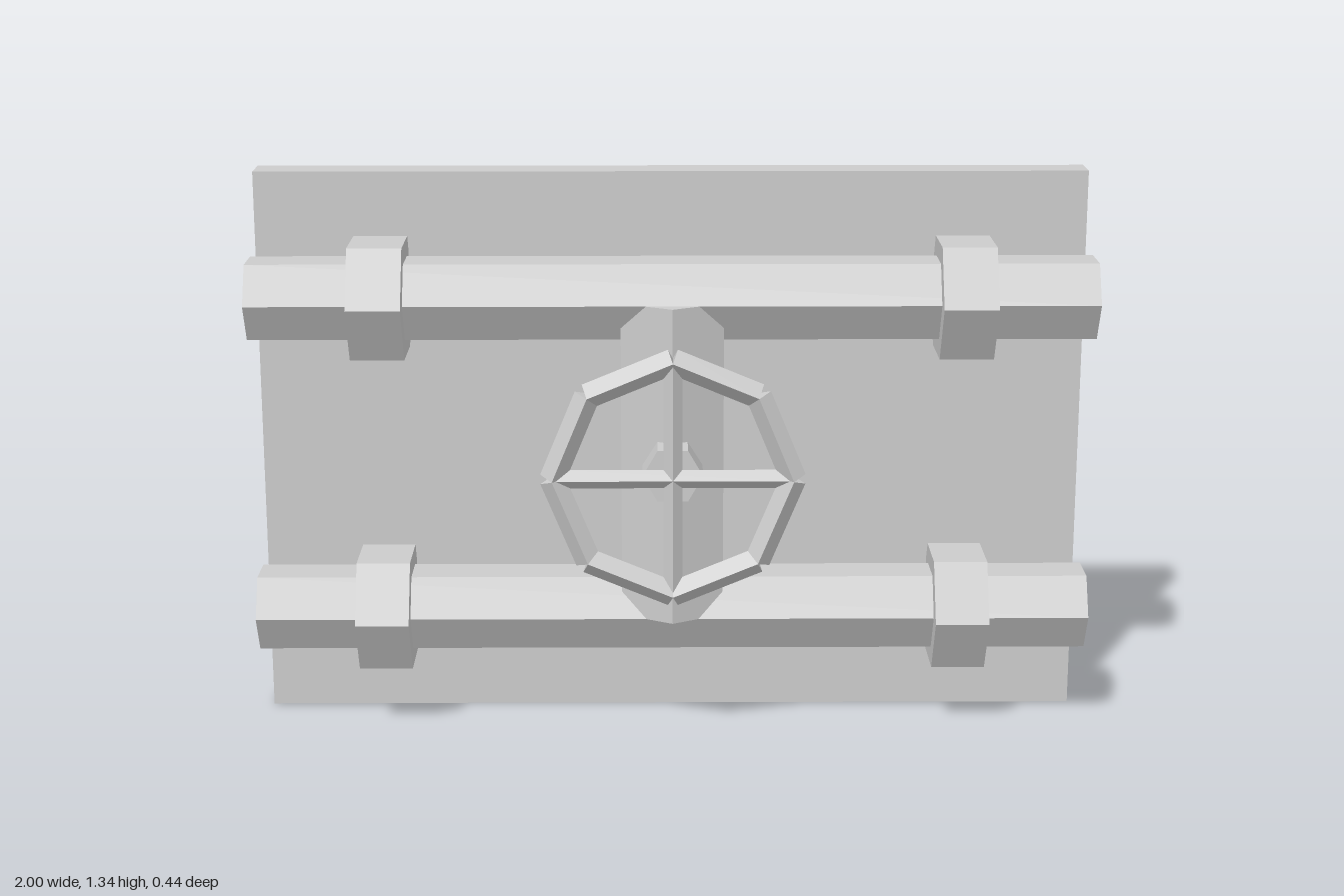
import * as THREE from 'three';

export function createModel() {
  const model = new THREE.Group();
  const metal = new THREE.MeshStandardMaterial({ color: 0xcccccc });
  metal.name = 'grey metal';

  const add = (name, geometry, x, y, z, parent = model) => {
    // unshared vertices give every facet its own flat normal
    const flat = geometry.toNonIndexed();
    flat.computeVertexNormals();
    const mesh = new THREE.Mesh(flat, metal);
    mesh.name = name;
    mesh.position.set(x, y, z);
    parent.add(mesh);
    return mesh;
  };
  const prism = (radius, length, sides) => new THREE.CylinderGeometry(radius, radius, length, sides);

  // Back plate
  add('backPlate', new THREE.BoxGeometry(1.985, 1.34, 0.09), -0.002, 0.67, -0.177);

  // Two horizontal hexagonal pipes, each with a pair of collars
  const pipeZ = -0.03;
  for (const [label, y] of [['lower', 0.29], ['upper', 1.056]]) {
    add(label + 'Pipe', prism(0.104, 2, 6).rotateZ(Math.PI / 2), 0, y, pipeZ);
    for (const [side, x] of [['Right', -0.693], ['Left', 0.692]]) {
      add(label + side + 'Collar', prism(0.154, 0.128, 6).rotateZ(Math.PI / 2), x, y, pipeZ);
    }
  }

  // Vertical connecting pipe and valve stem
  add('connectingPipe', prism(0.14, 0.766, 6), 0, 0.673, pipeZ);
  add('valveStem', prism(0.071, 0.17, 6).rotateY(Math.PI / 6).rotateX(Math.PI / 2), 0, 0.673, 0.085);

  // Valve wheel: eight straight diamond-section bars and two crossing spokes
  const wheel = new THREE.Group();
  wheel.name = 'valveWheel';
  wheel.position.set(0, 0.673, 0.193);
  model.add(wheel);
  const radius = 0.28;
  const half = Math.PI / 8;
  for (let i = 0; i < 8; i++) {
    const a = half + i * 2 * half;
    const r = radius * Math.cos(half);
    const bar = prism(0.03, 2 * radius * Math.sin(half), 4).rotateZ(a);
    add('wheelRimBar', bar, r * Math.cos(a), r * Math.sin(a), 0, wheel);
  }
  for (const a of [0, Math.PI / 2]) {
    add('wheelSpoke', prism(0.022, 2 * radius, 4).rotateZ(a), 0, 0, 0, wheel);
  }

  return model;
}
